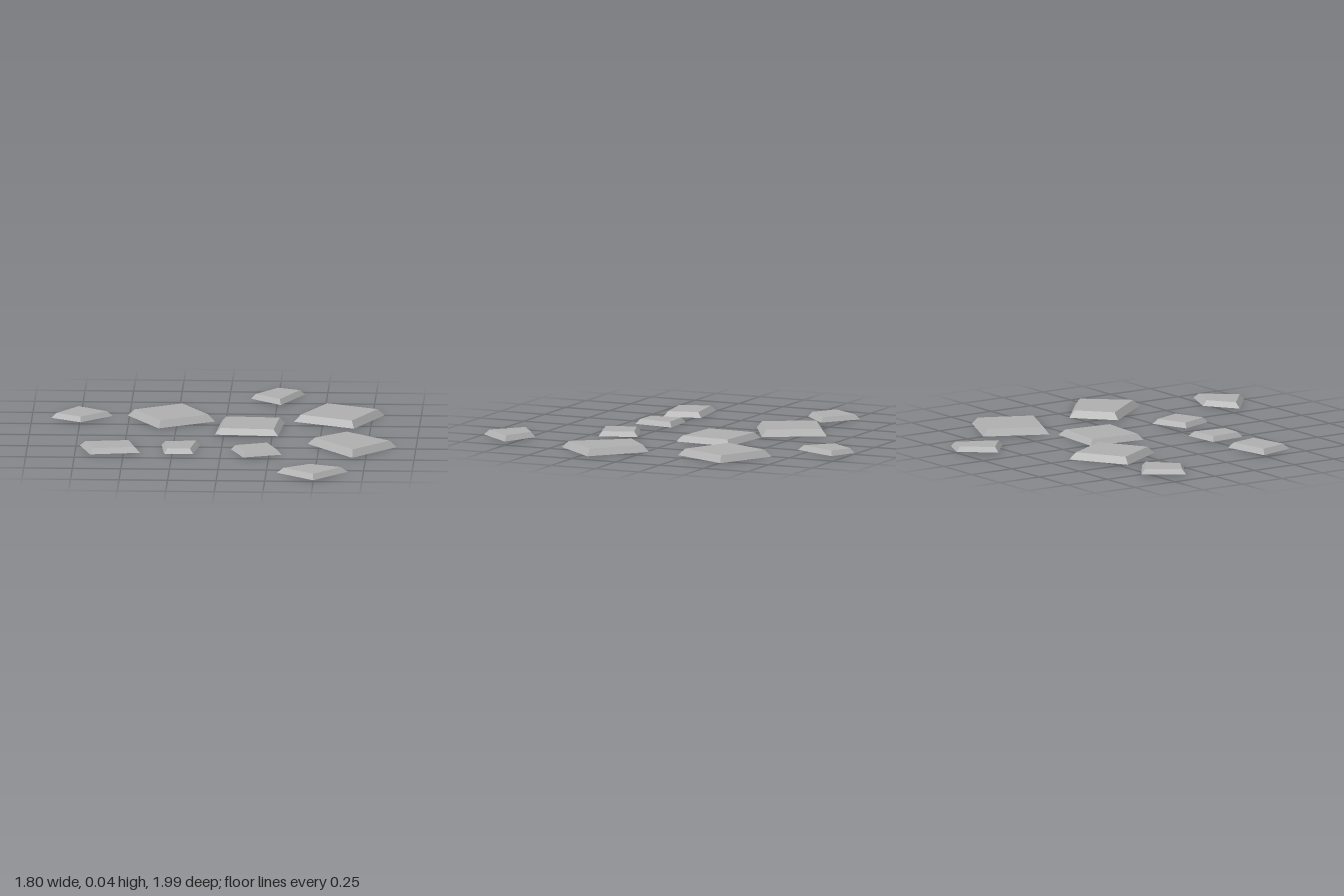
import * as THREE from 'three';

const stone = new THREE.MeshStandardMaterial({ color: 0xb0b0b0, side: THREE.DoubleSide });
stone.name = 'grey stone';

const MID_Y = 0.0175; // every slab is centred on this height

// Bevelled slab, open underneath: corners are [x, z], clockwise seen from above
function slabGeometry(corners, halfHeight, bevel) {
  const n = corners.length;
  // Inward unit normal of the edge that starts at corner i
  const inward = (i) => {
    const [ax, az] = corners[i % n];
    const [bx, bz] = corners[(i + 1) % n];
    return new THREE.Vector2(az - bz, bx - ax).normalize();
  };
  const base = corners.map(([x, z]) => new THREE.Vector3(x, MID_Y - halfHeight, z));
  const top = corners.map(([x, z], i) => {
    const n0 = inward(i + n - 1);
    const n1 = inward(i);
    const k = bevel / (1 + n0.dot(n1));
    return new THREE.Vector3(x + k * (n0.x + n1.x), MID_Y + halfHeight, z + k * (n0.y + n1.y));
  });

  const points = [];
  for (let i = 0; i < n; i++) {
    const j = (i + 1) % n;
    points.push(base[j], base[i], top[i], base[j], top[i], top[j]); // sloping side
  }
  for (let i = 1; i < n - 1; i++) points.push(top[0], top[i + 1], top[i]); // flat top

  const geometry = new THREE.BufferGeometry().setFromPoints(points);
  geometry.computeVertexNormals(); // unshared corners keep the facets flat
  return geometry;
}

// Half height, bevel width and outline of each paving stone
const SLABS = [
  { name: 'smallStoneBack', half: 0.0125, bevel: 0.019, corners: [[0.24, -1], [0.385, -0.935], [0.27, -0.69], [0.11, -0.83]] },
  { name: 'smallStoneBackRight', half: 0.0125, bevel: 0.019, corners: [[-0.77, -0.55], [-0.585, -0.415], [-0.745, -0.265], [-0.9, -0.36]] },
  { name: 'largeStoneBackRight', half: 0.0175, bevel: 0.026, corners: [[-0.225, -0.62], [-0.055, -0.33], [-0.34, -0.165], [-0.51, -0.45]] },
  { name: 'largeStoneBackLeft', half: 0.0175, bevel: 0.026, corners: [[0.5, -0.65], [0.81, -0.505], [0.665, -0.195], [0.35, -0.34]] },
  { name: 'centreStone', half: 0.015, bevel: 0.025, corners: [[-0.02, -0.34], [0.305, -0.315], [0.28, 0], [-0.045, -0.025]] },
  { name: 'largeStoneLeft', half: 0.0175, bevel: 0.026, corners: [[0.635, -0.015], [0.9, 0.21], [0.68, 0.46], [0.44, 0.155]] },
  { name: 'mediumStoneRight', half: 0.0135, bevel: 0.022, corners: [[-0.73, 0.25], [-0.465, 0.21], [-0.415, 0.405], [-0.67, 0.45]] },
  { name: 'smallStoneRight', half: 0.0125, bevel: 0.019, corners: [[-0.31, 0.225], [-0.11, 0.21], [-0.14, 0.43], [-0.29, 0.425]] },
  { name: 'smallStoneFront', half: 0.0125, bevel: 0.019, corners: [[0.245, 0.235], [0.315, 0.425], [0.12, 0.495], [0.05, 0.31]] },
  { name: 'mediumStoneFrontLeft', half: 0.0135, bevel: 0.022, corners: [[0.47, 0.71], [0.67, 0.79], [0.5, 0.99], [0.305, 0.825]] },
];

export function createModel() {
  const group = new THREE.Group();
  group.name = 'steppingStones';
  for (const { name, half, bevel, corners } of SLABS) {
    const mesh = new THREE.Mesh(slabGeometry(corners, half, bevel), stone);
    mesh.name = name;
    group.add(mesh);
  }
  return group;
}
